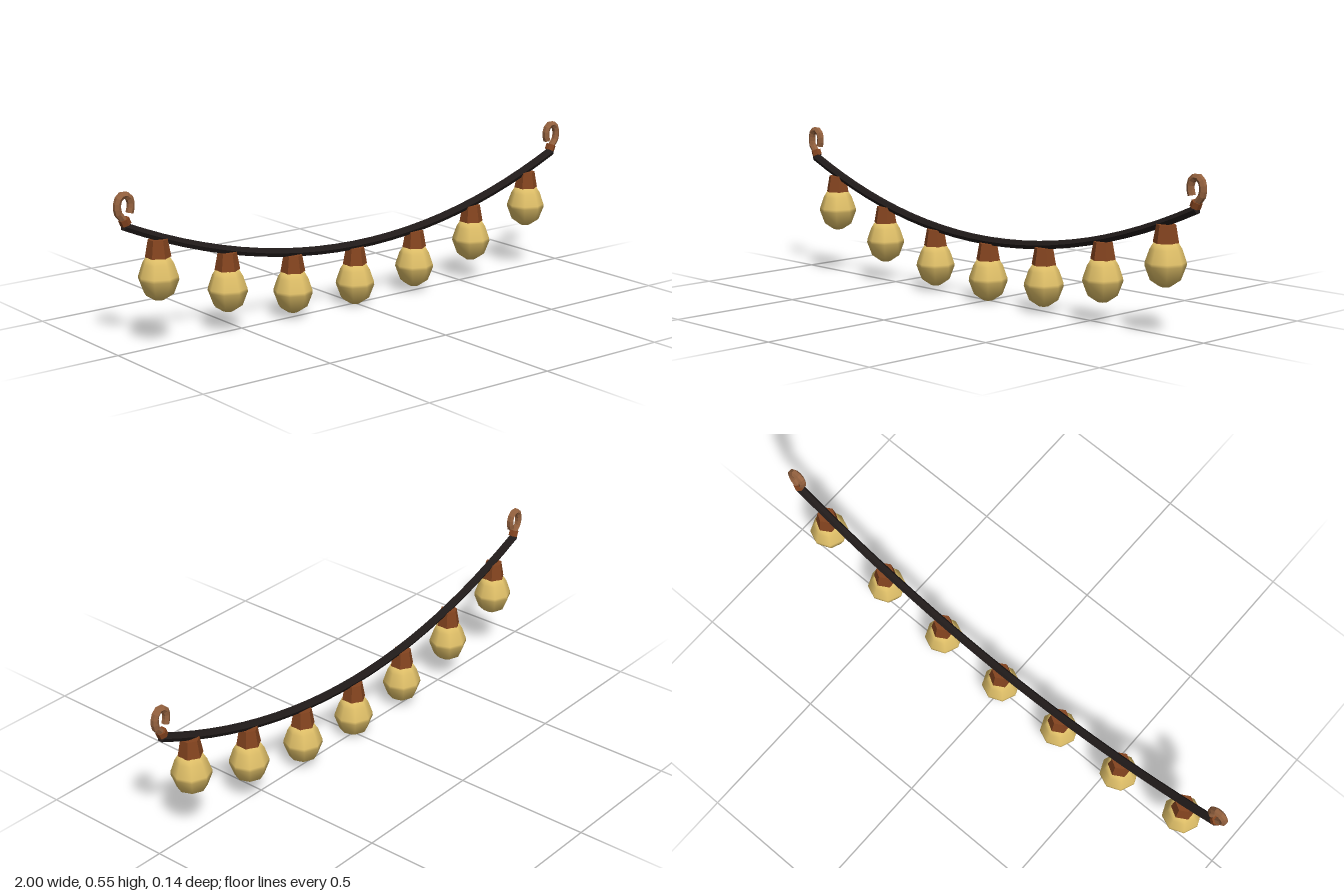
import * as THREE from 'three';
import { mergeGeometries } from 'three/addons/utils/BufferGeometryUtils.js';

const SAG = 0.218, LOW = 0.217, SPAN = 0.963;
const cableY = x => LOW + SAG * (x / SPAN) ** 2;

function facet(geometry) {
  const g = geometry.index ? geometry.toNonIndexed() : geometry;
  g.computeVertexNormals();
  return g;
}

// Faceted tube with flat end caps
function cappedTube(curve, steps, radius, sides) {
  const tube = new THREE.TubeGeometry(curve, steps, radius, sides, false);
  const pos = tube.attributes.position;
  const pieces = [tube.toNonIndexed()];
  for (const end of [0, 1]) {
    const outward = curve.getTangentAt(end).multiplyScalar(end ? 1 : -1);
    const centre = curve.getPointAt(end);
    const points = [];
    for (let i = 0; i < sides; i++) {
      const k = end * steps * (sides + 1) + i;
      const a = new THREE.Vector3().fromBufferAttribute(pos, k);
      const b = new THREE.Vector3().fromBufferAttribute(pos, k + 1);
      const n = a.clone().sub(centre).cross(b.clone().sub(centre));
      points.push(centre, ...(n.dot(outward) > 0 ? [a, b] : [b, a]));
    }
    pieces.push(new THREE.BufferGeometry().setFromPoints(points));
  }
  for (const p of pieces) {
    p.deleteAttribute('uv');
    p.deleteAttribute('normal');
  }
  return facet(mergeGeometries(pieces));
}

export function createModel() {
  const material = (name, color) => {
    const m = new THREE.MeshStandardMaterial({ color });
    m.name = name;
    return m;
  };
  const glass = material('warm glass', 0xdfbf68);
  const copper = material('copper socket', 0x84441f);
  const bronze = material('bronze hook', 0x95623f);
  const rubber = material('black cable', 0x211b1a);

  const model = new THREE.Group();
  model.name = 'stringLights';
  const add = (parent, name, geometry, mat) => {
    const mesh = new THREE.Mesh(geometry, mat);
    mesh.name = name;
    parent.add(mesh);
    return mesh;
  };

  // Sagging cable, an exact parabola
  const cable = new THREE.QuadraticBezierCurve3(
    new THREE.Vector3(-SPAN, LOW + SAG, 0),
    new THREE.Vector3(0, LOW - SAG, 0),
    new THREE.Vector3(SPAN, LOW + SAG, 0));
  add(model, 'cable', cappedTube(cable, 24, 0.016, 6), rubber);

  // Bulb profile, from its bottom up to the socket
  const profile = [[0, 0], [0.019, 0.001], [0.051, 0.022], [0.07, 0.072],
    [0.069, 0.083], [0.054, 0.127], [0.041, 0.148], [0, 0.148]]
    .map(([r, y]) => new THREE.Vector2(r, y));
  const bulbGeometry = new THREE.LatheGeometry(profile, 8);
  const socketGeometry = facet(new THREE.CylinderGeometry(0.033, 0.044, 0.061, 6));

  // Seven hanging lamps
  for (let i = -3; i <= 3; i++) {
    const x = i * 0.278;
    const lamp = new THREE.Group();
    lamp.name = 'lamp';
    lamp.position.set(x, cableY(x) - LOW, 0);
    add(lamp, 'bulb', bulbGeometry, glass);
    add(lamp, 'socket', socketGeometry, copper).position.y = 0.178;
    model.add(lamp);
  }

  // Open hooks and their collars, mirrored at both ends
  for (const s of [-1, 1]) {
    const path = [[0.957, 0.437], [0.963, 0.458], [0.98, 0.473], [0.987, 0.5],
      [0.981, 0.528], [0.962, 0.541], [0.942, 0.531], [0.934, 0.505], [0.94, 0.478]]
      .map(([x, y]) => new THREE.Vector3(s * x, y, 0));
    const hook = new THREE.CatmullRomCurve3(path);
    add(model, 'hook', cappedTube(hook, 12, 0.0135, 6), bronze);
    const collar = add(model, 'hookCollar',
      facet(new THREE.CylinderGeometry(0.019, 0.019, 0.022, 6)), copper);
    collar.position.set(s * 0.959, 0.45, 0);
    collar.rotation.z = -s * 0.4;
  }
  return model;
}
